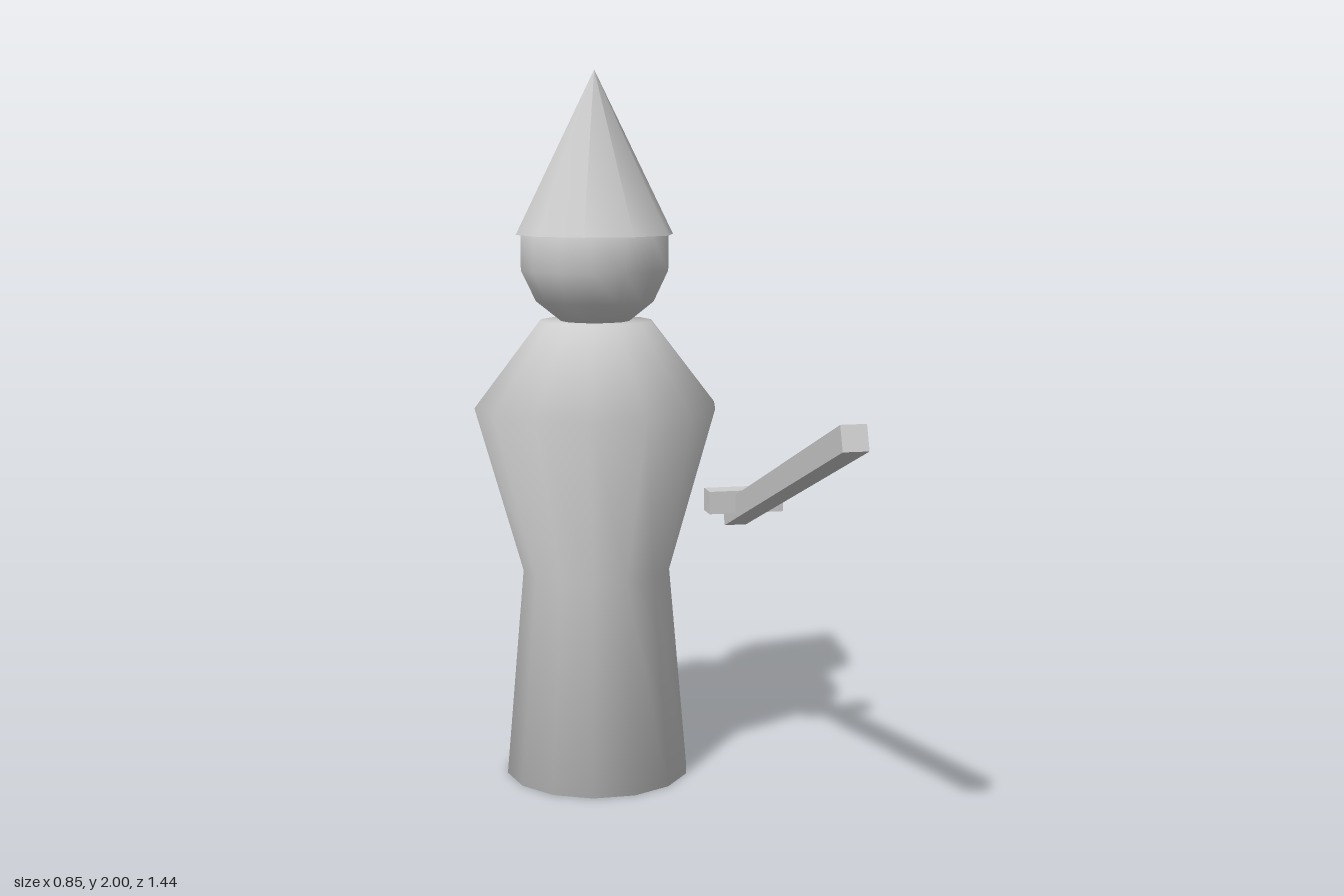
import * as THREE from 'three';

export function createModel() {
  const model = new THREE.Group();
  const grey = new THREE.MeshStandardMaterial({ color: 0xcccccc });
  grey.name = 'plain grey';

  function add(parent, name, geometry, x, y, z) {
    const mesh = new THREE.Mesh(geometry, grey);
    mesh.name = name;
    mesh.position.set(x, y, z);
    parent.add(mesh);
    return mesh;
  }

  // Robed figure, turned around one axis
  const figure = new THREE.Group();
  figure.name = 'figure';
  figure.position.set(-0.082, 0, -0.385);
  model.add(figure);

  // Closed robe with smooth edges: hem, waist, shoulders, collar
  const robeProfile = [
    [0, 0], [0.265, 0], [0.212, 0.6], [0.345, 1.07], [0.16, 1.31], [0, 1.31],
  ].map(([r, y]) => new THREE.Vector2(r, y));
  add(figure, 'robe', new THREE.LatheGeometry(robeProfile, 14, Math.PI / 2), 0, 0, 0);

  add(figure, 'head', new THREE.SphereGeometry(0.215, 14, 7), 0, 1.5, 0);

  // Pointed hat with ten sides
  add(figure, 'hat', new THREE.ConeGeometry(0.223, 0.45, 10, 1, false, Math.PI / 2), 0, 1.775, 0);

  // Sword held at the left side, tilted upward to the front
  const sword = new THREE.Group();
  sword.name = 'sword';
  model.add(sword);
  const blade = add(sword, 'blade', new THREE.BoxGeometry(0.064, 0.064, 1.128), 0.317, 0.938, 0.181);
  blade.rotation.x = -THREE.MathUtils.degToRad(20);
  add(sword, 'crossguard', new THREE.BoxGeometry(0.214, 0.064, 0.064), 0.317, 0.806, -0.25);

  return model;
}
